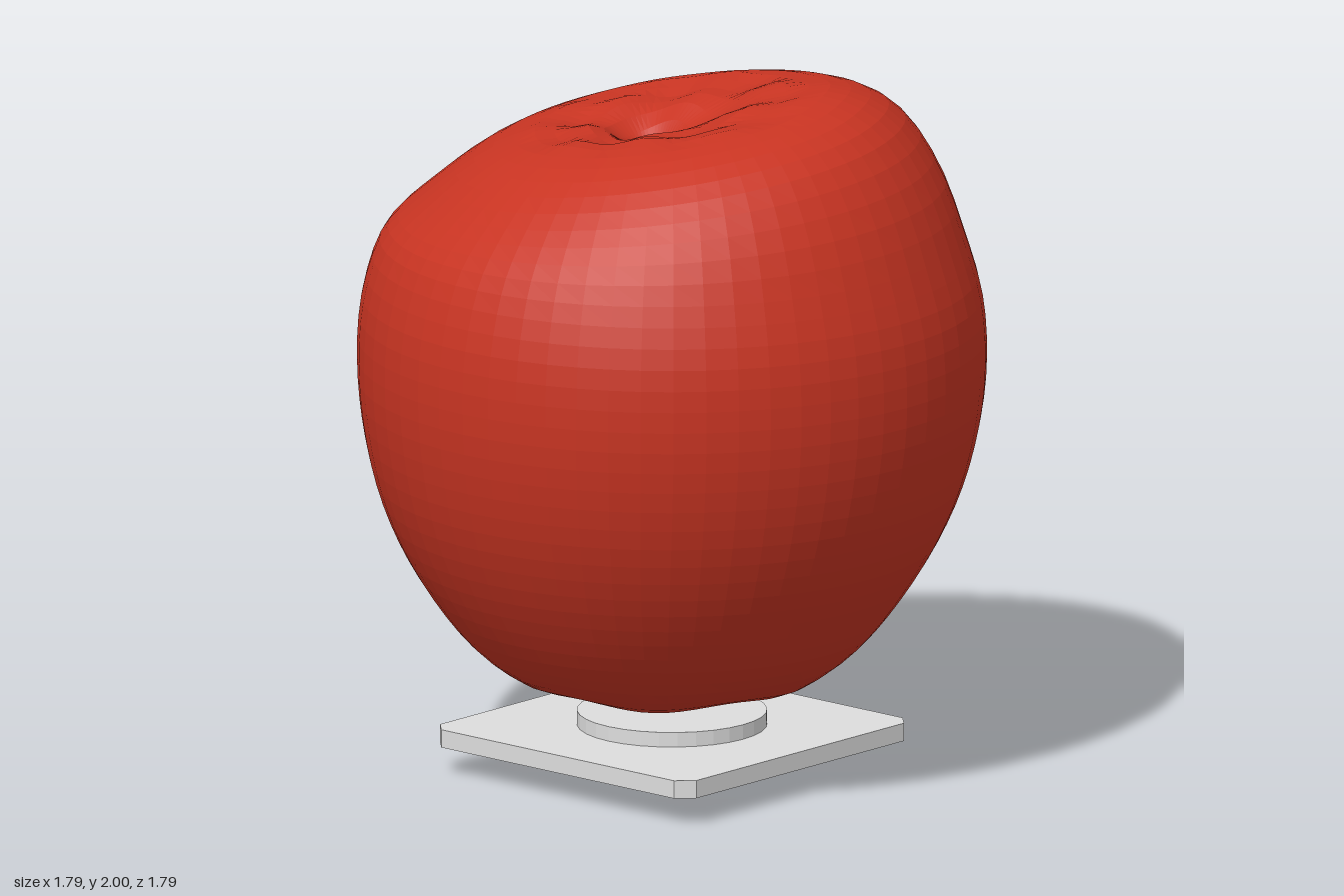
import * as THREE from 'three';

const smooth = THREE.MathUtils.smoothstep;

// Apple body: a turned profile with a tilted, crumpled crown and a small off-centre stem hole
function appleGeometry() {
  const profile = [
    [0, 0.28], [0.15, 0.265], [0.3, 0.25], [0.38, 0.262], [0.48, 0.315], [0.58, 0.4], [0.725, 0.6],
    [0.82, 0.8], [0.873, 1.0], [0.893, 1.2], [0.878, 1.4], [0.812, 1.6], [0.755, 1.7], [0.67, 1.8],
    [0.59, 1.86], [0.5, 1.9], [0.4, 1.92], [0.3, 1.915], [0.18, 1.89], [0.11, 1.865], [0.05, 1.81], [0, 1.79],
  ].map(([r, y]) => new THREE.Vector3(r, y, 0));
  const points = new THREE.CatmullRomCurve3(profile, false, 'centripetal')
    .getSpacedPoints(48)
    .map((p) => new THREE.Vector2(Math.max(p.x, 0), p.y));

  const geometry = new THREE.LatheGeometry(points, 60);
  const pos = geometry.attributes.position;
  for (let i = 0; i < pos.count; i++) {
    let x = pos.getX(i), y = pos.getY(i), z = pos.getZ(i);
    const r = Math.hypot(x, z);
    const crown = smooth(y, 1.5, 1.88);
    const low = 1 - smooth(y, 0.4, 1.2);
    if (y > 1.7) {
      // tilt of the crown, its high shoulder and the crumpled skin round the stem
      const tilt = r > 0.2 ? 1 : smooth(y, 1.5, 1.8);
      const shoulder = 0.02 * Math.exp(-((x - 0.38) ** 2 + (z + 0.22) ** 2) / 0.03);
      const fold = (1 - smooth(r, 0.25, 0.48)) * Math.sin(19 * x + 6 * z) * Math.sin(17 * z - 8 * x + 1);
      y += tilt * crown * (0.125 * x - 0.095 * z) + shoulder + 0.018 * fold;
      const hole = 1 - smooth(r, 0.05, 0.4);
      x -= 0.05 * hole;
      z += 0.02 * hole;
    } else {
      y += crown * (0.125 * x - 0.095 * z);
    }
    // soft lobes underneath
    const a = Math.atan2(z, x);
    y += low * (1 - smooth(r, 0.35, 0.6)) * smooth(r, 0, 0.25) * 0.008 * Math.sin(a * 5);
    x -= 0.02 * low;
    pos.setXYZ(i, x, y, z);
  }
  geometry.computeVertexNormals();
  return geometry;
}

// Square plate with clipped corners
function plateGeometry(half, cut, height) {
  const shape = new THREE.Shape([
    [half, half - cut], [half - cut, half], [cut - half, half], [-half, half - cut],
    [-half, cut - half], [cut - half, -half], [half - cut, -half], [half, cut - half],
  ].map(([x, y]) => new THREE.Vector2(x, y)));
  return new THREE.ExtrudeGeometry(shape, { depth: height, bevelEnabled: false })
    .rotateX(-Math.PI / 2);
}

export function createModel() {
  const red = new THREE.MeshStandardMaterial({ color: 0xc83422 });
  red.name = 'appleRed';
  red.flatShading = true;
  const grey = new THREE.MeshStandardMaterial({ color: 0xdddddd });
  grey.name = 'plateGrey';
  grey.flatShading = true;

  const model = new THREE.Group();
  model.name = 'appleOnMount';
  const add = (name, geometry, material, y) => {
    const mesh = new THREE.Mesh(geometry, material);
    mesh.name = name;
    mesh.position.y = y;
    model.add(mesh);
  };

  add('apple', appleGeometry(), red, 0);
  // Mount: disc, plate and foot
  add('mountDisc', new THREE.CylinderGeometry(0.27, 0.27, 0.045, 32), grey, 0.15);
  add('mountPlate', plateGeometry(0.487, 0.045, 0.052), grey, 0.078);
  add('mountFoot', new THREE.BoxGeometry(0.41, 0.046, 0.41), grey, 0.023);
  return model;
}
